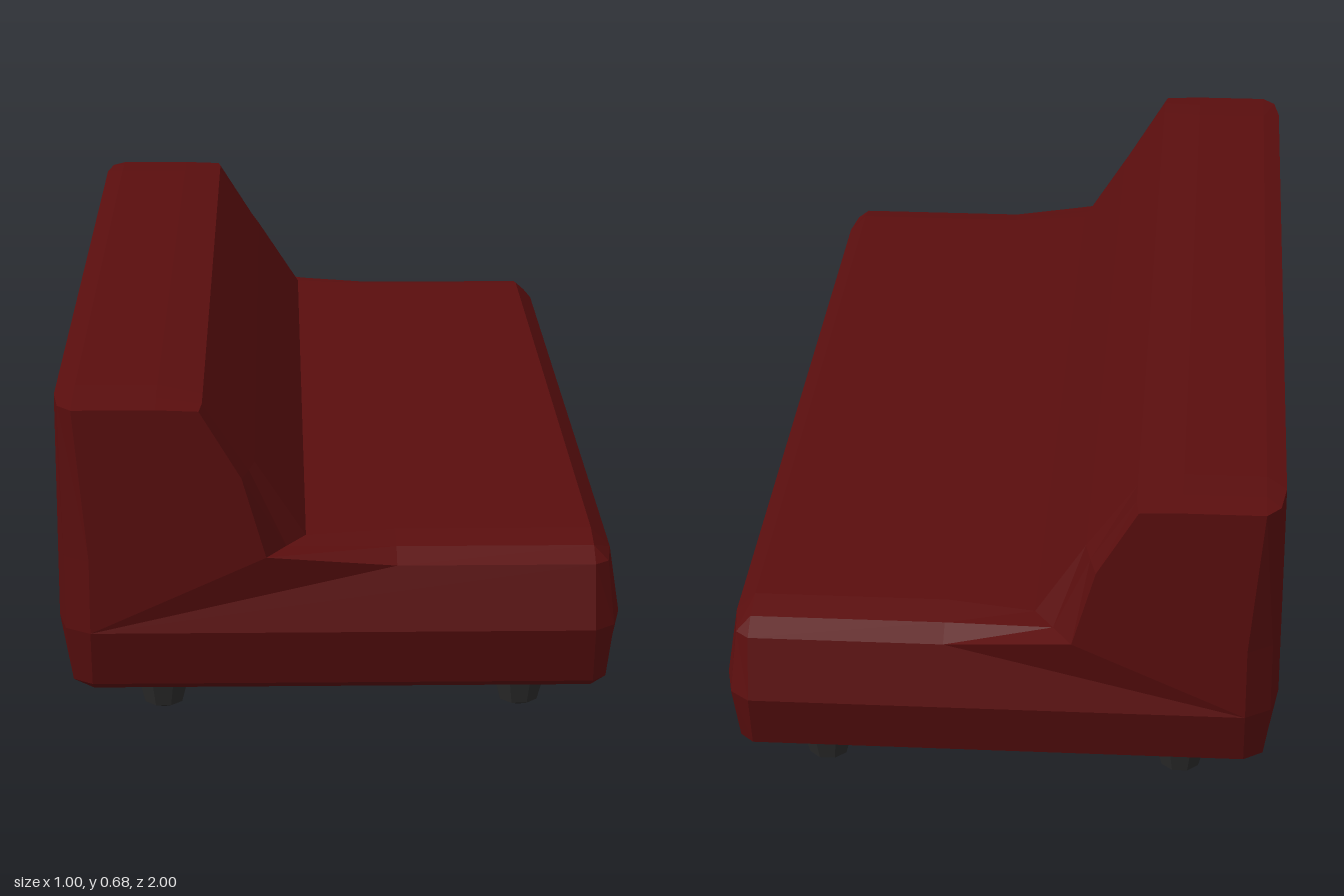
import * as THREE from 'three';

// Side profile, counterclockwise. Each row: body, corner and end-face point (x, y, z).
const rows = [
  [[-0.44, 0.12, 0.87], [-0.44, 0.135, 0.93], [-0.44, 0.158, 0.97]],    // 0 underside, back
  [[0.45, 0.12, 0.87], [0.45, 0.135, 0.93], [0.45, 0.158, 0.97]],       // 1 underside, seat edge
  [[0.485, 0.158, 0.87], [0.475, 0.158, 0.945], [0.45, 0.158, 0.97]],
  [[0.5, 0.265, 0.9], [0.485, 0.265, 0.97], [0.45, 0.265, 1]],          // 3 widest seat edge
  [[0.485, 0.376, 0.87], [0.475, 0.376, 0.945], [0.45, 0.378, 0.97]],
  [[0.45, 0.412, 0.87], [0.45, 0.4, 0.93], [0.45, 0.378, 0.97]],        // 5 seat top
  [[0.1, 0.412, 0.87], [0.1, 0.4, 0.93], [0.1, 0.378, 0.97]],
  [[-0.06, 0.412, 0.9], [-0.095, 0.409, 0.95], [-0.13, 0.405, 1]],      // 7 seat meets backrest
  [[-0.15, 0.55, 0.9], [-0.16, 0.55, 0.95], [-0.172, 0.55, 1]],
  [[-0.24, 0.675, 0.9], [-0.24, 0.675, 0.96], [-0.245, 0.672, 1]],      // 9 backrest top
  [[-0.32, 0.683, 0.87], [-0.32, 0.68, 0.94], [-0.32, 0.675, 1]],
  [[-0.465, 0.683, 0.87], [-0.465, 0.68, 0.94], [-0.465, 0.675, 1]],
  [[-0.5, 0.675, 0.9], [-0.49, 0.675, 0.97], [-0.465, 0.675, 1]],       // 12 back panel
  [[-0.5, 0.4, 0.9], [-0.485, 0.4, 0.97], [-0.44, 0.4, 1]],
  [[-0.5, 0.265, 0.9], [-0.485, 0.265, 0.97], [-0.44, 0.265, 1]],
  [[-0.485, 0.158, 0.87], [-0.475, 0.158, 0.945], [-0.44, 0.158, 0.97]],
];
// End faces as fans of profile points
const fans = [[0, 1, 3, 14], [14, 3, 5, 6, 7, 13], [13, 7, 8, 9, 10, 11]];

function upholsteryGeometry() {
  const positions = [];
  const tri = (a, b, c) => {
    const [A, B, C] = [a, b, c].map((p) => new THREE.Vector3(...p));
    if (new THREE.Triangle(A, B, C).getArea() > 1e-7) positions.push(...a, ...b, ...c);
  };
  const ring = (k, s) => rows.map((r) => [r[k][0], r[k][1], s * r[k][2]]);
  const rings = [ring(2, -1), ring(1, -1), ring(0, -1), ring(0, 1), ring(1, 1), ring(2, 1)];

  // skin between neighbouring rings
  for (let r = 0; r < rings.length - 1; r++) {
    for (let i = 0; i < rows.length; i++) {
      const j = (i + 1) % rows.length;
      const a = rings[r][i], b = rings[r][j], c = rings[r + 1][j], d = rings[r + 1][i];
      tri(a, b, c);
      tri(a, c, d);
    }
  }
  // end faces
  for (const f of fans) {
    for (let i = 1; i < f.length - 1; i++) {
      tri(rings[5][f[0]], rings[5][f[i]], rings[5][f[i + 1]]);
      tri(rings[0][f[0]], rings[0][f[i + 1]], rings[0][f[i]]);
    }
  }
  const geometry = new THREE.BufferGeometry();
  geometry.setAttribute('position', new THREE.Float32BufferAttribute(positions, 3));
  geometry.computeVertexNormals();
  return geometry;
}

// Stubby eight-sided foot with a blunt tip
function footGeometry() {
  const profile = [[0, 0], [0.037, 0.016], [0.049, 0.06], [0.049, 0.13]]
    .map(([x, y]) => new THREE.Vector2(x, y));
  const geometry = new THREE.LatheGeometry(profile, 8, Math.PI / 8).toNonIndexed();
  geometry.computeVertexNormals();
  return geometry;
}

export function createModel() {
  const group = new THREE.Group();
  group.name = 'sofa';
  const fabric = new THREE.MeshStandardMaterial({ color: 0x5a0e0e });
  fabric.name = 'dark red fabric';
  const footMaterial = new THREE.MeshStandardMaterial({ color: 0x2b2b2b });
  footMaterial.name = 'charcoal foot';

  const body = new THREE.Mesh(upholsteryGeometry(), fabric);
  body.name = 'seatAndBackrest';
  group.add(body);

  const foot = footGeometry();
  for (const x of [-0.325, 0.34]) {
    for (const z of [0.695, -0.765]) {
      const mesh = new THREE.Mesh(foot, footMaterial);
      mesh.name = (x > 0 ? 'seatEdge' : 'backrest') + (z > 0 ? 'FrontFoot' : 'RearFoot');
      mesh.position.set(x, 0, z);
      group.add(mesh);
    }
  }
  return group;
}
